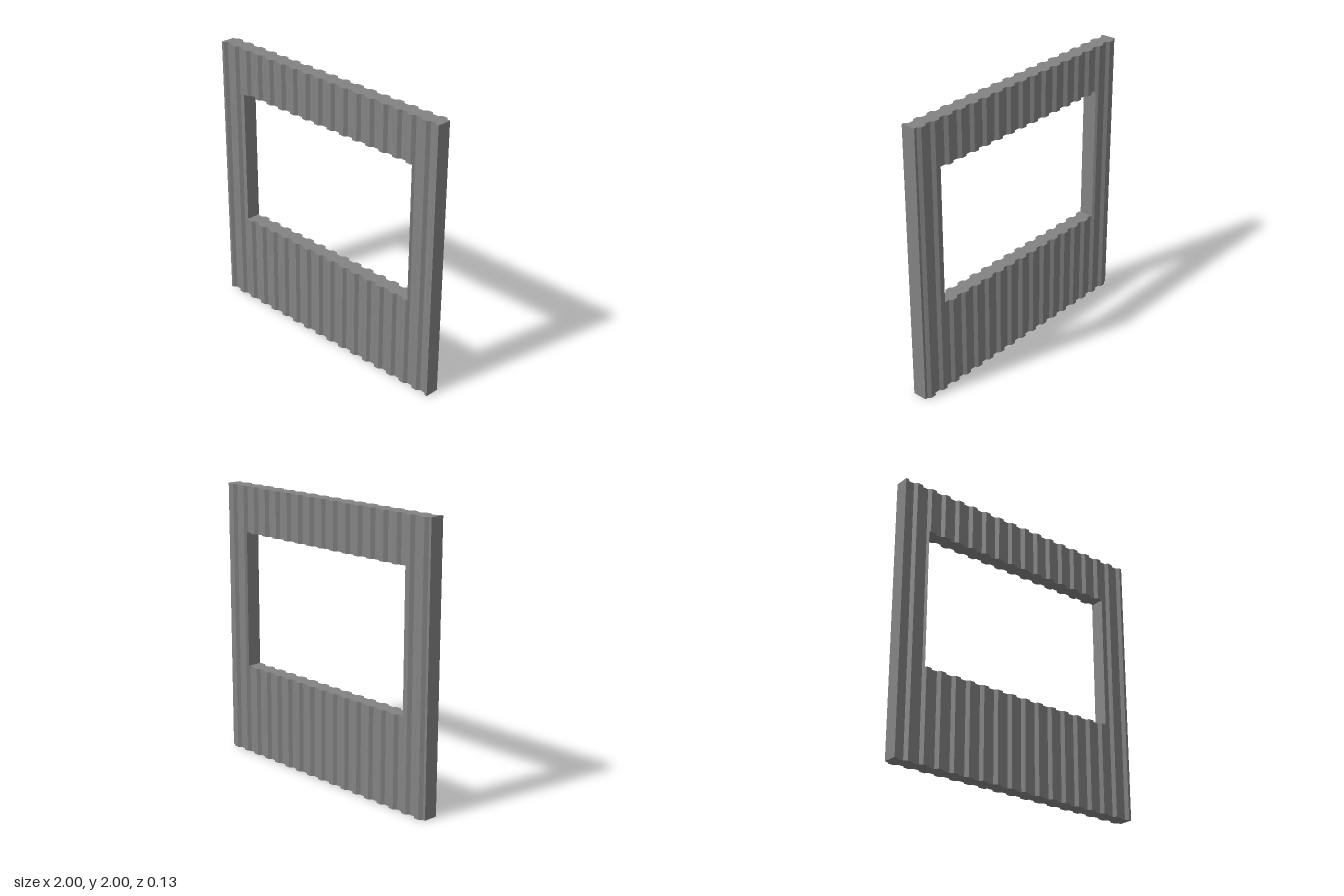
import * as THREE from 'three';

const WAVES = 17, PITCH = 2 / WAVES;
const FLAT = 0.038, SLOPE = PITCH / 2 - FLAT; // widths of the flats and slopes in one wave
const OUT = 0.063, IN = 0.042;                // ridge and groove depths
const HEIGHT = 2;
const WIN = { x: 0.791, bottom: 0.667, top: 1.665 };

// Front surface; the back surface runs parallel to it
function frontZ(x) {
  const t = (((x + 1) % PITCH) + PITCH) % PITCH;
  const d = Math.min(t, PITCH - t); // distance from the nearest ridge centre
  const k = THREE.MathUtils.clamp((d - FLAT / 2) / SLOPE, 0, 1);
  return OUT + (IN - OUT) * k;
}
const backZ = (x) => frontZ(x) - OUT - IN;

export function createModel() {
  const pos = [];
  // Corners run counter-clockwise as seen from outside
  const quad = (a, b, c, d) => pos.push(...a, ...b, ...c, ...a, ...c, ...d);

  // Fold lines of the corrugation, plus the window edges
  const xs = [-1, 1, -WIN.x, WIN.x];
  for (let i = 0; i < WAVES; i++) {
    const c = -1 + (i + 0.5) * PITCH;
    for (const s of [-1, 1]) xs.push(c + s * FLAT / 2, c + s * (FLAT / 2 + SLOPE));
  }
  xs.sort((a, b) => a - b);

  // Corrugated strips: full height beside the window, split above and below it
  for (let i = 0; i < xs.length - 1; i++) {
    const x0 = xs[i], x1 = xs[i + 1];
    const f0 = frontZ(x0), f1 = frontZ(x1), b0 = backZ(x0), b1 = backZ(x1);
    const inWindow = Math.abs((x0 + x1) / 2) < WIN.x;
    const spans = inWindow ? [[0, WIN.bottom], [WIN.top, HEIGHT]] : [[0, HEIGHT]];
    for (const [y0, y1] of spans) {
      quad([x0, y0, f0], [x1, y0, f1], [x1, y1, f1], [x0, y1, f0]); // front
      quad([x1, y0, b1], [x0, y0, b0], [x0, y1, b0], [x1, y1, b1]); // back
      quad([x0, y1, f0], [x1, y1, f1], [x1, y1, b1], [x0, y1, b0]); // top
      quad([x0, y0, b0], [x1, y0, b1], [x1, y0, f1], [x0, y0, f0]); // bottom
    }
  }

  // Vertical end faces and window jambs, facing +x or -x
  const side = (x, y0, y1, dir) => {
    const [za, zb] = dir > 0 ? [frontZ(x), backZ(x)] : [backZ(x), frontZ(x)];
    quad([x, y0, za], [x, y0, zb], [x, y1, zb], [x, y1, za]);
  };
  for (const s of [-1, 1]) {
    side(s, 0, HEIGHT, s);
    side(s * WIN.x, WIN.bottom, WIN.top, -s);
  }

  const geometry = new THREE.BufferGeometry();
  geometry.setAttribute('position', new THREE.Float32BufferAttribute(pos, 3));
  geometry.computeVertexNormals();

  // Dark grey sheet
  const wall = new THREE.Mesh(
    geometry,
    new THREE.MeshStandardMaterial({ color: 0x838383, flatShading: true })
  );
  wall.name = 'corrugatedWindowWall';

  const group = new THREE.Group();
  group.name = 'wallPanel';
  group.add(wall);
  return group;
}
